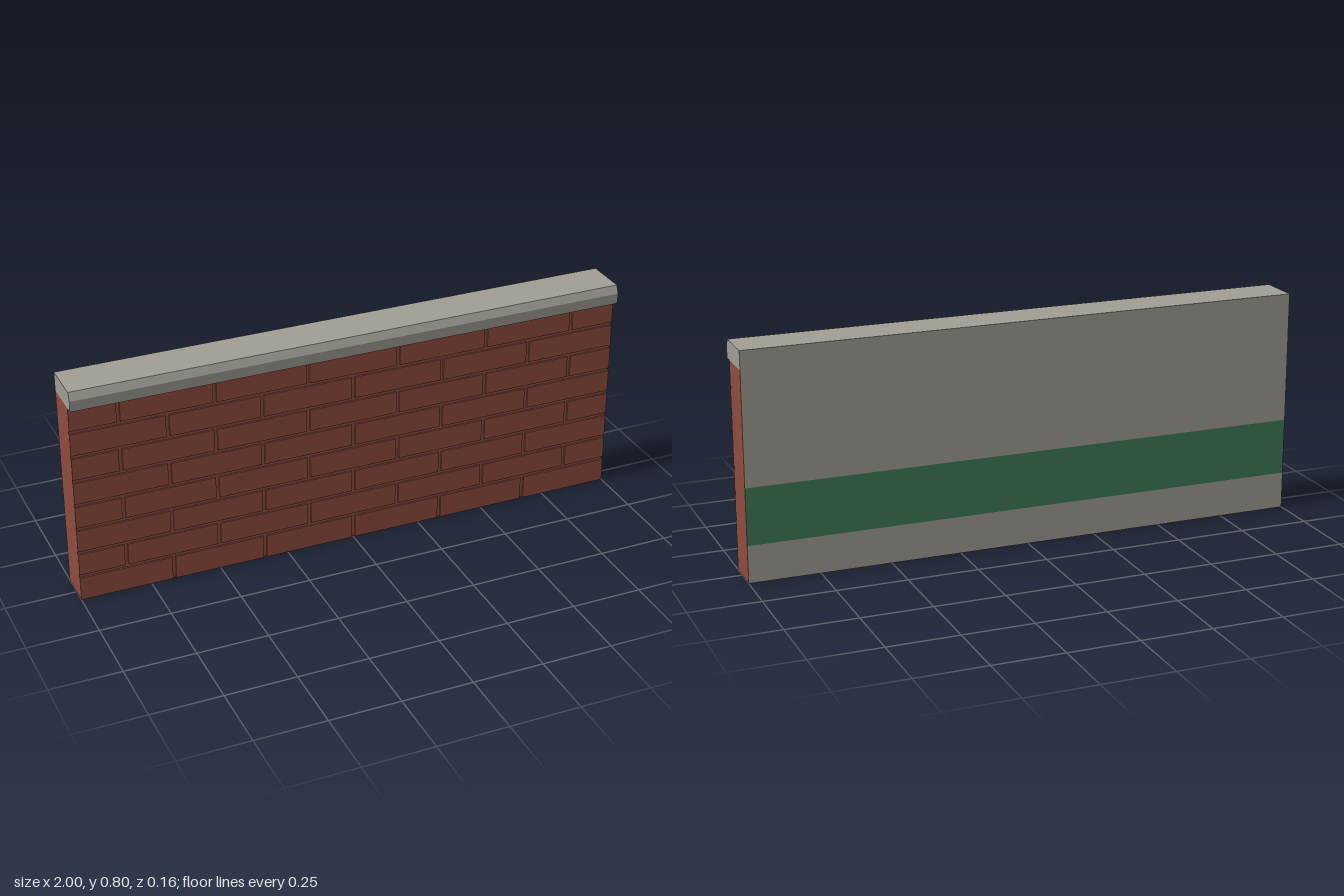
import * as THREE from 'three';

const W = 2, H = 0.8, CAP_Y = 0.733;
const BACK = -0.082, CORE_FRONT = 0.047, FRONT = 0.053;
const ROWS = 8, BRICK_W = W / 6, ROW_H = CAP_Y / ROWS, GAP = 0.012;

const material = (name, color) => {
  const m = new THREE.MeshStandardMaterial({ color });
  m.name = name;
  return m;
};

export function createModel() {
  const group = new THREE.Group();
  group.name = 'brickWall';
  const brick = material('brickRed', 0x8e4c3f);
  const stone = material('stoneGrey', 0xa09d94);
  const green = material('stripeGreen', 0x3e7c56);

  const add = (name, geometry, mat, x, y, z, parent = group) => {
    const mesh = new THREE.Mesh(geometry, mat);
    mesh.name = name;
    mesh.position.set(x, y, z);
    parent.add(mesh);
    return mesh;
  };

  // Solid core, whose front face is the recessed mortar
  const depth = CORE_FRONT - BACK - 0.001;
  add('wallCore', new THREE.BoxGeometry(W, CAP_Y, depth), brick, 0, CAP_Y / 2, CORE_FRONT - depth / 2);

  // Raised bricks in running bond; odd rows are shifted by half a brick
  const bricks = new THREE.Group();
  bricks.name = 'bricks';
  group.add(bricks);
  for (let row = 0; row < ROWS; row++) {
    const y0 = row === 0 ? 0 : row * ROW_H + GAP / 2;
    const y1 = row === ROWS - 1 ? CAP_Y : (row + 1) * ROW_H - GAP / 2;
    const shift = row % 2 ? BRICK_W / 2 : 0;
    for (let start = -W / 2 - shift; start < W / 2 - 0.01; start += BRICK_W) {
      const x0 = Math.max(-W / 2, start + (start > -W / 2 + 0.01 ? GAP / 2 : 0));
      const end = start + BRICK_W;
      const x1 = end > W / 2 - 0.01 ? W / 2 : end - GAP / 2;
      const d = FRONT - CORE_FRONT;
      add('brick', new THREE.BoxGeometry(x1 - x0, y1 - y0, d), brick,
        (x0 + x1) / 2, (y0 + y1) / 2, CORE_FRONT + d / 2, bricks);
    }
  }

  // Coping with a bevelled front lip: profile in (z, y), extruded along x
  const profile = new THREE.Shape([
    [BACK, CAP_Y], [0.08, CAP_Y], [0.083, 0.772], [0.07, H], [BACK, H],
  ].map(([z, y]) => new THREE.Vector2(z, y)));
  const coping = new THREE.ExtrudeGeometry(profile, { depth: W, bevelEnabled: false });
  coping.rotateY(-Math.PI / 2);
  add('coping', coping, stone, W / 2, 0, 0);

  // Rendered back face with a painted band
  const backPanel = (name, y0, y1, mat) =>
    add(name, new THREE.PlaneGeometry(W, y1 - y0).rotateY(Math.PI), mat, 0, (y0 + y1) / 2, BACK);
  backPanel('backPanelLower', 0, 0.132, stone);
  backPanel('backStripe', 0.132, 0.333, green);
  backPanel('backPanelUpper', 0.333, CAP_Y, stone);

  return group;
}
